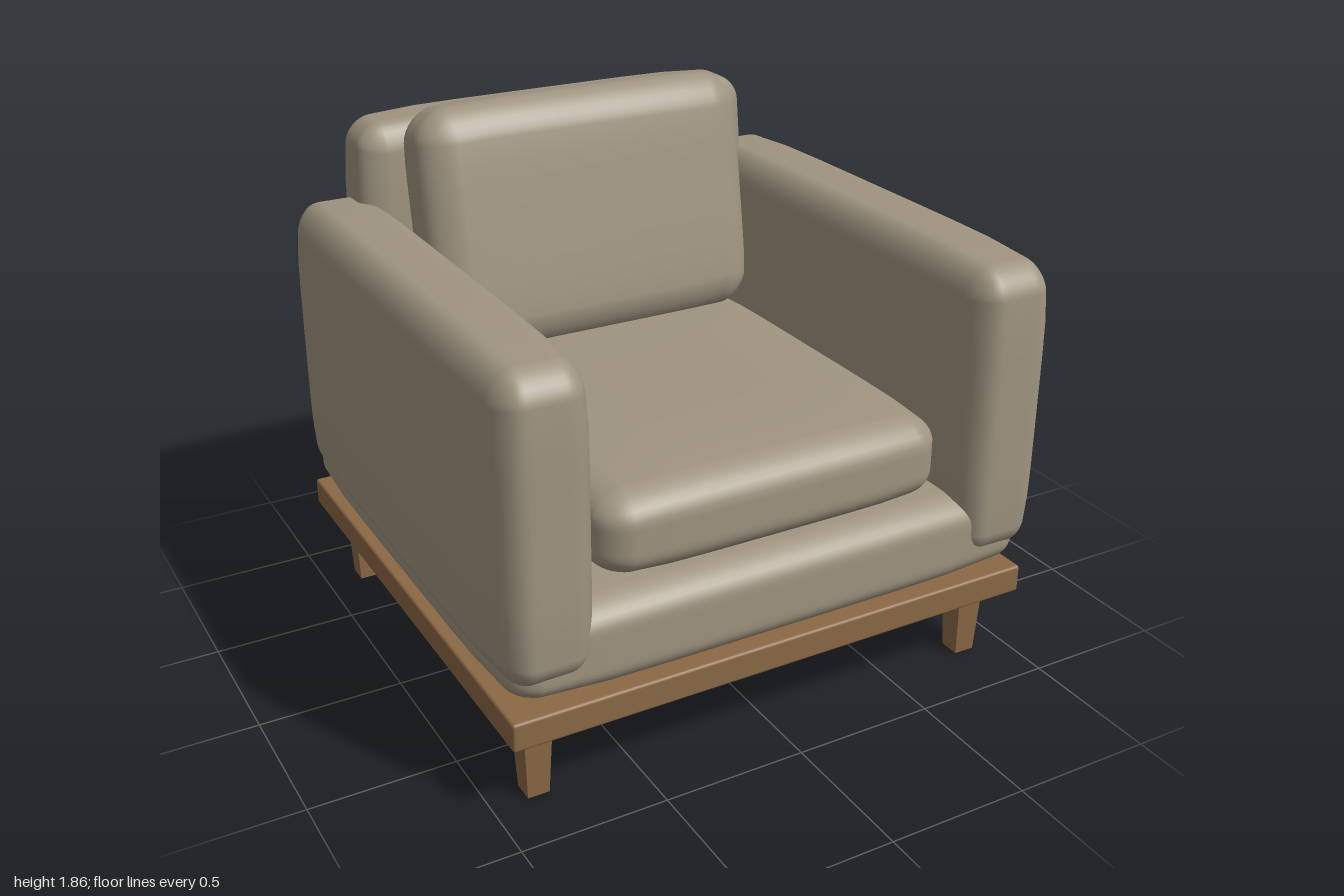
import * as THREE from 'three';
import { mergeVertices } from 'three/addons/utils/BufferGeometryUtils.js';
import { RoundedBoxGeometry } from 'three/addons/geometries/RoundedBoxGeometry.js';

const fabric = new THREE.MeshStandardMaterial({ color: 0x9f9480 });
fabric.name = 'taupe fabric';
const wood = new THREE.MeshStandardMaterial({ color: 0x8b6845 });
wood.name = 'oak wood';

// Upholstered block: rounded edges of radius r, faces easing inwards by puff near their rims
function softBox(w, h, d, r, puff) {
  const n = 16;
  const geo = new THREE.BoxGeometry(2, 2, 2, n, n, n);
  const half = [w / 2, h / 2, d / 2];
  const pos = geo.attributes.position;
  const inner = new THREE.Vector3(), offset = new THREE.Vector3();
  for (let i = 0; i < pos.count; i++) {
    for (let a = 0; a < 3; a++) {
      const t = pos.getComponent(i, a), s = Math.sign(t), m = Math.abs(t);
      inner.setComponent(a, s * Math.min(m / 0.5, 1) * (half[a] - r));
      offset.setComponent(a, m > 0.5 ? s * Math.tan((m - 0.5) * Math.PI / 2) : 0);
    }
    const p = inner.add(offset.normalize().multiplyScalar(r));
    const q = half.map((v, a) => p.getComponent(a) / v);
    const rim = q.map(v => Math.pow(Math.abs(v), 6));
    const total = rim[0] + rim[1] + rim[2];
    for (let a = 0; a < 3; a++) {
      pos.setComponent(i, a, p.getComponent(a) - q[a] * puff * (total - rim[a]));
    }
  }
  geo.deleteAttribute('normal');
  geo.deleteAttribute('uv');
  const merged = mergeVertices(geo, 1e-5);
  merged.computeVertexNormals();
  return merged;
}

// Leg with a square section narrowing towards the floor
function taperedLeg(top, bottom, height) {
  const geo = new THREE.BoxGeometry(top, height, top);
  const pos = geo.attributes.position;
  for (let i = 0; i < pos.count; i++) {
    if (pos.getY(i) < 0) {
      pos.setX(i, pos.getX(i) * bottom / top);
      pos.setZ(i, pos.getZ(i) * bottom / top);
    }
  }
  geo.computeVertexNormals();
  return geo;
}

export function createModel() {
  const model = new THREE.Group();
  model.name = 'armchair';
  const add = (name, geo, mat, x, y, z) => {
    const mesh = new THREE.Mesh(geo, mat);
    mesh.name = name;
    mesh.position.set(x, y, z);
    model.add(mesh);
    return mesh;
  };

  // Wooden platform and four legs
  add('platform', new RoundedBoxGeometry(1.93, 0.1, 1.81, 2, 0.01), wood, 0, 0.32, -0.015);
  const legGeo = taperedLeg(0.1, 0.075, 0.28);
  for (const [side, x] of [['left', 0.84], ['right', -0.84]]) {
    add(side + 'FrontLeg', legGeo, wood, x, 0.14, 0.745);
    add(side + 'BackLeg', legGeo, wood, x, 0.14, -0.77);
  }

  // Upholstered body
  add('seatBase', softBox(1.94, 0.335, 1.83, 0.09, 0.02), fabric, 0, 0.5425, -0.005);
  const armGeo = softBox(0.34, 1.06, 1.845, 0.09, 0.022);
  add('leftArm', armGeo, fabric, 0.83, 0.98, 0.01);
  add('rightArm', armGeo, fabric, -0.83, 0.98, 0.01);
  add('backrest', softBox(1.56, 1.32, 0.29, 0.08, 0.022), fabric, 0, 1.13, -0.785);

  // Loose cushions
  add('seatCushion', softBox(1.28, 0.32, 1.51, 0.1, 0.02), fabric, 0, 0.85, 0.105);
  const backCushion = add('backCushion', softBox(1.27, 0.89, 0.31, 0.11, 0.022), fabric, 0, 1.41, -0.53);
  backCushion.rotation.x = -0.17;

  return model;
}
